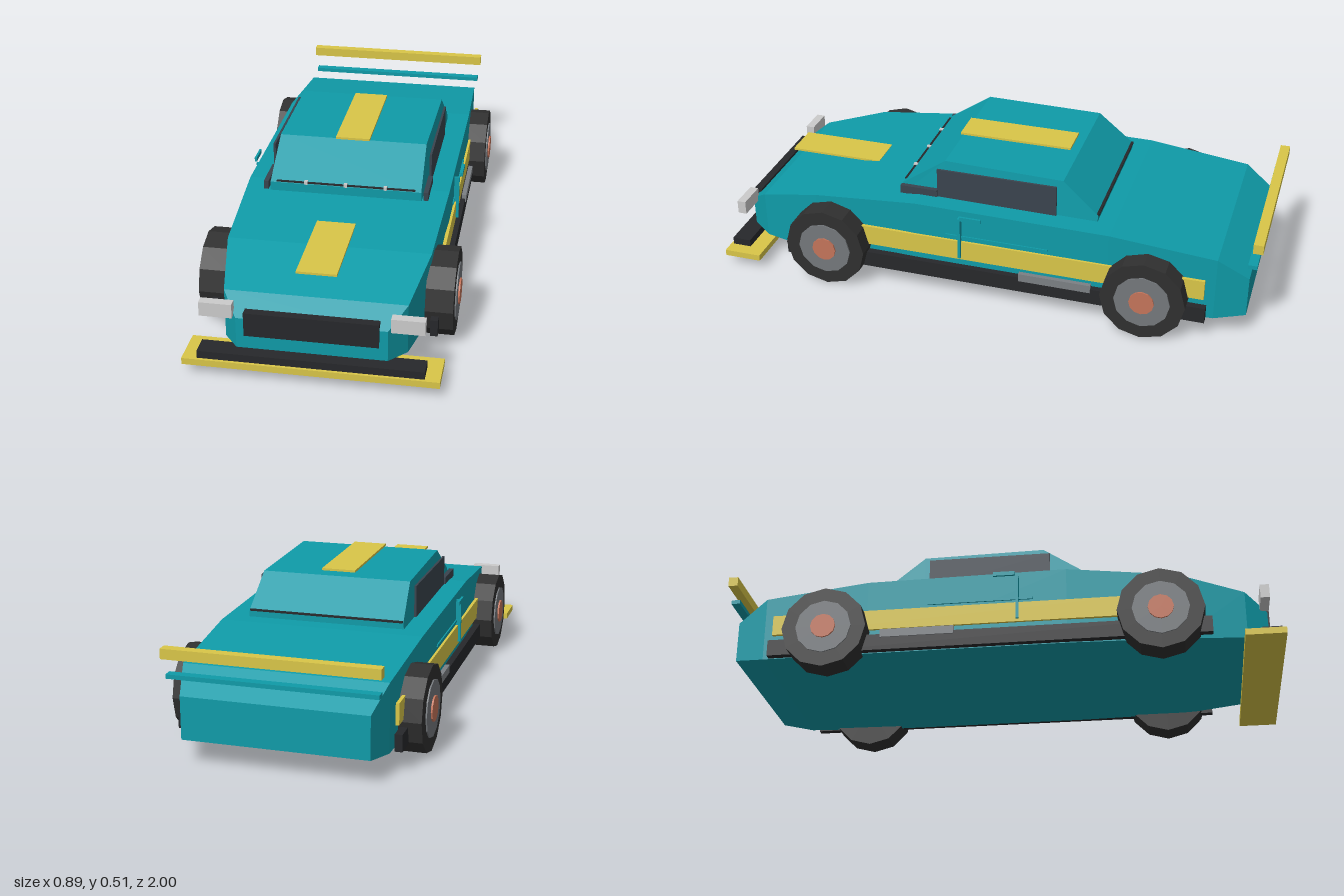
import * as THREE from 'three';

const mat = (color) => new THREE.MeshStandardMaterial({ color, flatShading: true });

// Loft of four-cornered sections, front to back: [z, yBottom, yTop, halfBottom, halfTop]
function loft(sections) {
  const pos = [], idx = [];
  for (const [z, yb, yt, wb, wt] of sections) {
    pos.push(-wb, yb, z, wb, yb, z, wt, yt, z, -wt, yt, z);
  }
  for (let i = 0; i < sections.length - 1; i++) {
    for (let j = 0; j < 4; j++) {
      const a = i * 4 + j, b = i * 4 + (j + 1) % 4, c = b + 4, d = a + 4;
      idx.push(a, d, c, a, c, b);
    }
  }
  const e = (sections.length - 1) * 4;
  idx.push(0, 1, 2, 0, 2, 3, e, e + 2, e + 1, e, e + 3, e + 2);
  const g = new THREE.BufferGeometry();
  g.setAttribute('position', new THREE.Float32BufferAttribute(pos, 3));
  g.setIndex(idx);
  const flat = g.toNonIndexed();
  flat.computeVertexNormals();
  return flat;
}

export function createModel() {
  const car = new THREE.Group();
  car.name = 'raceCar';
  const teal = mat(0x0f9ba8), yellow = mat(0xd9c648), black = mat(0x27282b);
  const rubber = mat(0x303030), rim = mat(0x74787c), copper = mat(0xc4745a);
  const glass = mat(0x3a444e), light = mat(0xd6d8da), grey = mat(0x7c8084);

  const add = (name, geometry, material) => {
    const m = new THREE.Mesh(geometry, material);
    m.name = name;
    car.add(m);
    return m;
  };
  // Box given by its limits on each axis
  const box = (name, material, [x0, x1], [y0, y1], [z0, z1]) => {
    const m = add(name, new THREE.BoxGeometry(x1 - x0, y1 - y0, z1 - z0), material);
    m.position.set((x0 + x1) / 2, (y0 + y1) / 2, (z0 + z1) / 2);
    return m;
  };

  // Body shell
  add('body', loft([
    [0.952, 0.09, 0.20, 0.25, 0.25],
    [0.875, 0.08, 0.257, 0.305, 0.305],
    [0.64, 0.07, 0.32, 0.35, 0.35],
    [0.25, 0.07, 0.36, 0.365, 0.365],
    [-0.47, 0.07, 0.353, 0.365, 0.365],
    [-0.85, 0.075, 0.315, 0.352, 0.352],
    [-0.96, 0.09, 0.24, 0.32, 0.32],
  ]), teal);

  // Cabin with sloping windscreen and tail
  add('cabin', loft([
    [0.325, 0.34, 0.385, 0.275, 0.272],
    [0.16, 0.34, 0.498, 0.283, 0.268],
    [-0.28, 0.34, 0.49, 0.285, 0.272],
    [-0.41, 0.34, 0.378, 0.285, 0.282],
  ]), teal);

  // Nose
  box('grille', black, [-0.222, 0.222], [0.14, 0.225], [0.93, 0.96]);
  box('frontBumper', black, [-0.375, 0.375], [0.058, 0.085], [0.92, 0.99]);
  box('frontSplitter', yellow, [-0.425, 0.425], [0.035, 0.058], [0.86, 1.0]);

  // Stripes on bonnet and roof
  box('bonnetStripe', yellow, [-0.068, 0.068], [0.328, 0.336], [0.5, 0.855]);
  box('roofStripe', yellow, [-0.062, 0.062], [0.499, 0.507], [-0.25, 0.17]);

  // Rear wing
  box('wingUpper', yellow, [-0.365, 0.365], [0.375, 0.41], [-1.0, -0.965]);
  box('wingLower', teal, [-0.355, 0.355], [0.305, 0.32], [-0.985, -0.953]);

  // Trim at the foot of the windscreen and rear window
  box('windscreenTrim', black, [-0.25, 0.25], [0.387, 0.391], [0.315, 0.325]);
  for (const x of [-0.143, 0, 0.143]) {
    box('windscreenClip', light, [x - 0.006, x + 0.006], [0.384, 0.396], [0.313, 0.328]);
  }
  box('rearWindowTrim', black, [-0.28, 0.28], [0.376, 0.382], [-0.415, -0.405]);

  // Parts repeated on both sides
  for (const s of [1, -1]) {
    const sideBox = (name, m, x0, x1, y, z) =>
      box(name, m, s > 0 ? [x0, x1] : [-x1, -x0], y, z);
    sideBox('headlight', light, 0.26, 0.37, [0.2, 0.25], [0.925, 0.957]);
    sideBox('sideWindow', glass, 0.283, 0.291, [0.355, 0.47], [-0.26, 0.185]);
    sideBox('windowSill', glass, 0.28, 0.297, [0.355, 0.386], [0.185, 0.325]);
    sideBox('sideStripe', yellow, 0.362, 0.374, [0.16, 0.235], [-0.815, 0.5]);
    sideBox('sideSkirt', black, 0.362, 0.388, [0.073, 0.133], [-0.825, 0.755]);
    sideBox('sideExhaust', grey, 0.375, 0.392, [0.12, 0.15], [-0.415, -0.15]);
    sideBox('doorSeam', teal, 0.364, 0.384, [0.17, 0.335], [0.07, 0.08]);
    sideBox('doorLine', teal, 0.364, 0.37, [0.248, 0.256], [-0.25, 0.13]);
    sideBox('doorHandle', teal, 0.386, 0.394, [0.335, 0.35], [-0.01, 0.068]);

    // Wheels: tyre, rim disc and hub
    for (const z of [0.58, -0.61]) {
      const wheel = new THREE.Group();
      wheel.name = z > 0 ? 'frontWheel' : 'rearWheel';
      const parts = [['tyre', 0.152, 0.34, 0.435, rubber],
        ['rim', 0.1, 0.4, 0.44, rim], ['hub', 0.045, 0.42, 0.446, copper]];
      for (const [name, r, x0, x1, m] of parts) {
        const disc = new THREE.Mesh(new THREE.CylinderGeometry(r, r, x1 - x0, 12), m);
        disc.name = name;
        disc.rotation.z = Math.PI / 2;
        disc.position.x = s * (x0 + x1) / 2;
        wheel.add(disc);
      }
      wheel.position.set(0, 0.152, z);
      car.add(wheel);
    }
  }
  return car;
}
